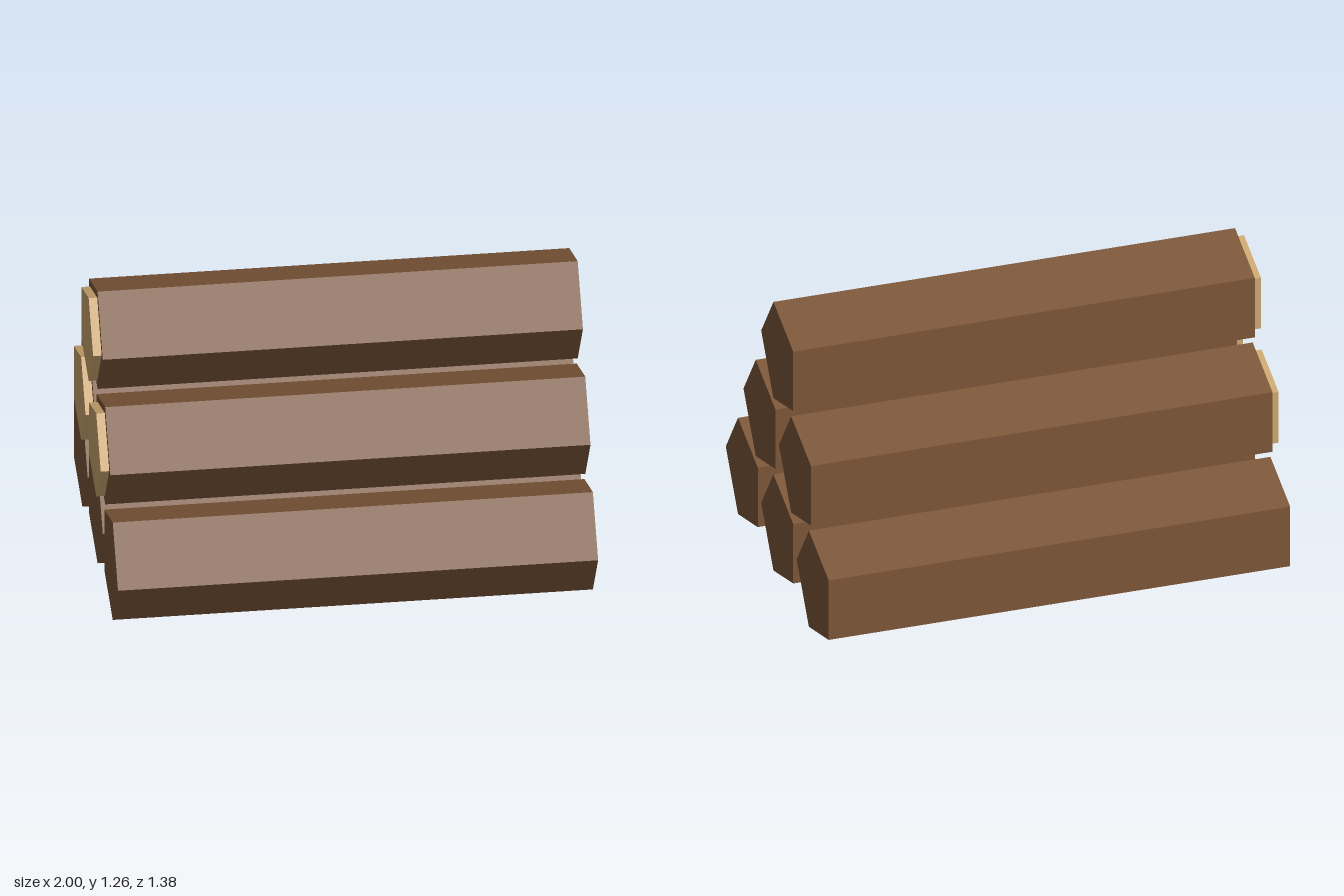
import * as THREE from 'three';

export function createModel() {
  const model = new THREE.Group();
  model.name = 'logPile';
  const bark = new THREE.MeshStandardMaterial({ color: 0x7a5538 });
  bark.name = 'bark';
  const cutWood = new THREE.MeshStandardMaterial({ color: 0xc8a46e });
  cutWood.name = 'cutWood';

  // Five-sided prism along x with one corner pointing to +z
  const prism = (radius, x0, x1) => {
    const g = new THREE.CylinderGeometry(radius, radius, x1 - x0, 5).toNonIndexed();
    g.rotateZ(-Math.PI / 2);
    g.translate((x0 + x1) / 2, 0, 0);
    g.computeVertexNormals();
    return g;
  };
  const logGeometry = prism(0.2377, -0.965, 1);
  const endGeometry = prism(0.2025, -1, -0.965);

  // Rows of three, two and one logs; the upper rows have cut ends
  for (let row = 0; row < 3; row++) {
    const count = 3 - row;
    for (let i = 0; i < count; i++) {
      const log = new THREE.Group();
      log.name = `log${row + 1}_${i + 1}`;
      log.position.set(0, 0.227 + row * 0.405, -0.0227 + ((count - 1) / 2 - i) * 0.476);
      const trunk = new THREE.Mesh(logGeometry, bark);
      trunk.name = 'trunk';
      log.add(trunk);
      if (row > 0) {
        const end = new THREE.Mesh(endGeometry, cutWood);
        end.name = 'cutEnd';
        log.add(end);
      }
      model.add(log);
    }
  }
  return model;
}
